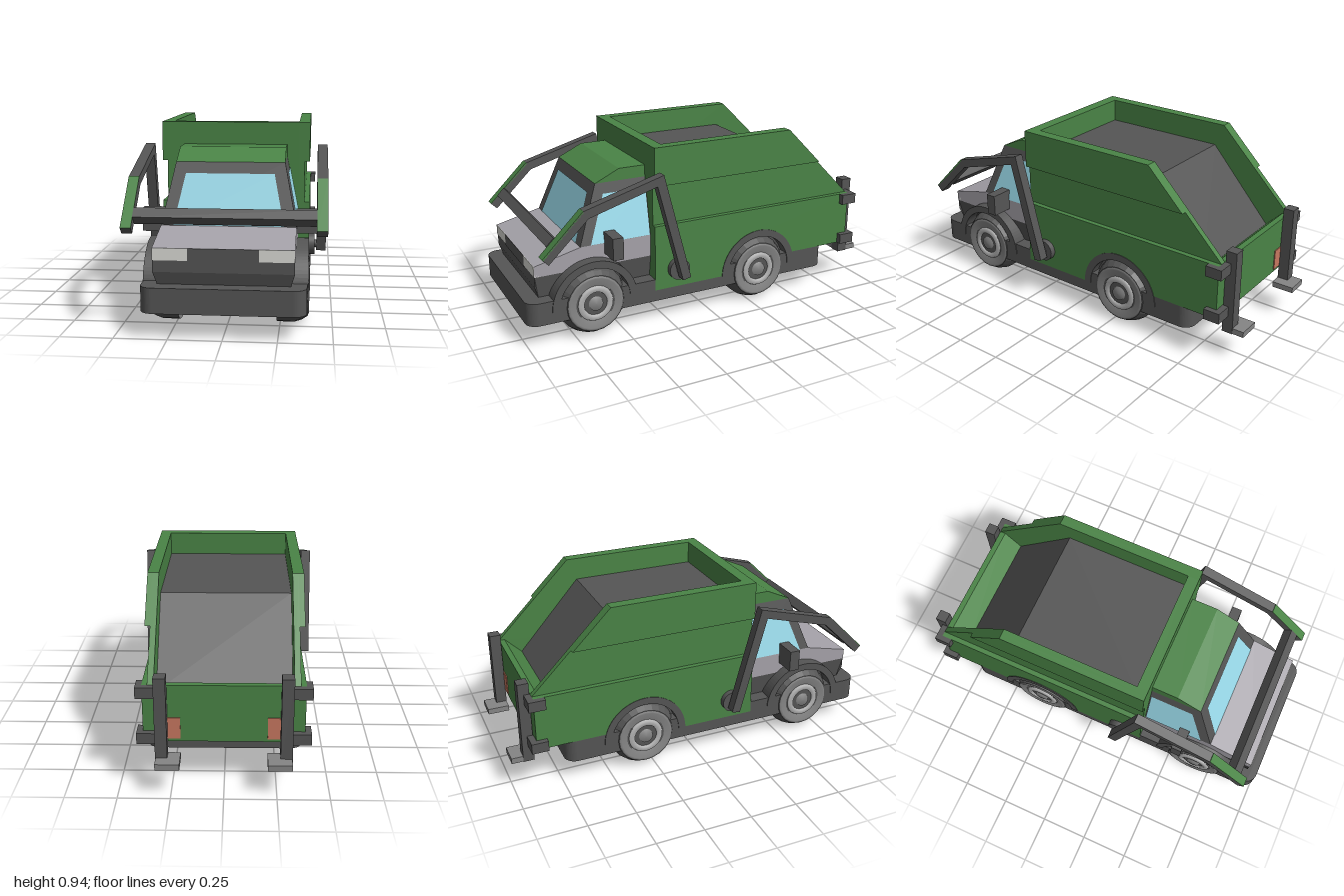
import * as THREE from 'three';

const mat = (color) => new THREE.MeshStandardMaterial({ color });

export function createModel() {
  const truck = new THREE.Group();
  truck.name = 'frontLoaderTruck';
  const green = mat(0x4a8446), dark = mat(0x555555), pale = mat(0xa5a2a9), glass = mat(0x9bdcec);
  const white = mat(0xdcdcd6), red = mat(0xc87860), rim = mat(0x858585), bright = mat(0xb4b4b4);
  glass.side = THREE.DoubleSide;
  const tyreMat = mat(0x555555);
  tyreMat.flatShading = true;

  const add = (name, geometry, material, parent = truck) => {
    const m = new THREE.Mesh(geometry, material);
    m.name = name;
    parent.add(m);
    return m;
  };
  // Box given by its limits on each axis
  const box = (name, [x0, x1], [y0, y1], [z0, z1], material) => {
    const m = add(name, new THREE.BoxGeometry(x1 - x0, y1 - y0, z1 - z0), material);
    m.position.set((x0 + x1) / 2, (y0 + y1) / 2, (z0 + z1) / 2);
    return m;
  };
  // Side profile of [z, y] points (or a shape), extruded from x0 to x1
  const slab = (name, profile, x0, x1, material) => {
    const shape = Array.isArray(profile) ? new THREE.Shape(profile.map(p => new THREE.Vector2(...p))) : profile;
    const g = new THREE.ExtrudeGeometry(shape, { depth: x1 - x0, bevelEnabled: false, curveSegments: 20 });
    g.rotateY(-Math.PI / 2).translate(x1, 0, 0);
    return add(name, g, material);
  };
  // Slab on both sides
  const pair = (name, profile, x0, x1, material) => {
    slab(name + 'Left', profile, x0, x1, material);
    slab(name + 'Right', profile, -x1, -x0, material);
  };
  const quad = (name, pts, material) => {
    const g = new THREE.BufferGeometry();
    g.setAttribute('position', new THREE.Float32BufferAttribute(pts.flat(), 3));
    g.setIndex([0, 1, 2, 0, 2, 3]);
    g.computeVertexNormals();
    return add(name, g, material);
  };

  // Chassis with rounded corners
  const W = 0.38, R = 0.06, zf = 1, zb = -0.73;
  const plan = new THREE.Shape();
  plan.absarc(W - R, zf - R, R, 0, Math.PI / 2);
  plan.absarc(-W + R, zf - R, R, Math.PI / 2, Math.PI);
  plan.absarc(-W + R, zb + R, R, Math.PI, Math.PI * 1.5);
  plan.absarc(W - R, zb + R, R, Math.PI * 1.5, Math.PI * 2);
  const chassis = new THREE.ExtrudeGeometry(plan, { depth: 0.12, bevelEnabled: false, curveSegments: 6 });
  add('chassis', chassis.rotateX(Math.PI / 2).translate(0, 0.24, 0), dark);

  // Wheels and arches
  const tyre = [[0.18, -0.075], [0.18, 0.01], [0.168, 0.045], [0.15, 0.073], [0.145, 0.074]];
  const disc = [[0.145, 0.074], [0.135, 0.078], [0.095, 0.068]];
  const ring = [[0.095, 0.068], [0.09, 0.078], [0.065, 0.08], [0.06, 0.066]];
  const hub = [[0.06, 0.066], [0.038, 0.066], [0.036, 0.08], [0, 0.082]];
  const lathe = (pts) => new THREE.LatheGeometry(pts.map(p => new THREE.Vector2(...p)), 24).rotateZ(-Math.PI / 2);
  for (const z of [0.65, -0.3]) {
    for (const s of [1, -1]) {
      const wheel = new THREE.Group();
      wheel.name = 'wheel';
      add('tyre', lathe(tyre), tyreMat, wheel);
      add('rim', lathe(disc), rim, wheel);
      add('rimRing', lathe(ring), bright, wheel);
      add('hub', lathe(hub), rim, wheel);
      add('innerFace', new THREE.CircleGeometry(0.18, 24).rotateY(-Math.PI / 2).translate(-0.075, 0, 0), rim, wheel);
      wheel.position.set(s * 0.31, 0.18, z);
      wheel.rotation.y = s > 0 ? 0 : Math.PI;
      truck.add(wheel);
    }
    const arch = new THREE.Shape();
    arch.absarc(z, 0.18, 0.226, 0, Math.PI);
    arch.absarc(z, 0.18, 0.188, Math.PI, 0, true);
    pair('wheelArch', arch, 0.24, 0.384, dark);
  }

  // Hopper body: side walls, raised skins, end walls and load
  pair('hopperWall', [[0.32, 0.45], [0.32, 0.94], [-0.47, 0.94], [-0.88, 0.53], [-0.88, 0.45]], 0.325, 0.355, green);
  pair('hopperUpperSkin', [[0.32, 0.74], [0.32, 0.94], [-0.47, 0.94], [-0.67, 0.74]], 0.355, 0.381, green);
  const lower = new THREE.Shape();
  lower.moveTo(0.32, 0.18);
  lower.lineTo(0.32, 0.53);
  lower.lineTo(-0.88, 0.53);
  lower.lineTo(-0.88, 0.24);
  lower.lineTo(-0.515, 0.24);
  lower.absarc(-0.3, 0.18, 0.224, Math.PI - 0.27, 0, true);
  pair('hopperLowerSkin', lower, 0.325, 0.381, green);
  slab('hopperFrontWall', [[0.32, 0.18], [0.32, 0.94], [0.26, 0.94], [0.26, 0.18]], -0.325, 0.325, green);
  slab('hopperTailWall', [[-0.7, 0.24], [-0.76, 0.44], [-0.85, 0.53], [-0.88, 0.53], [-0.88, 0.24]], -0.325, 0.325, green);
  slab('hopperFloor', [[0.26, 0.24], [0.26, 0.82], [-0.42, 0.82], [-0.76, 0.44], [-0.7, 0.24]], -0.325, 0.325, dark);

  // Cab nose, narrowing at the bottom
  const nose = slab('cabNose', [[0.92, 0.235], [0.94, 0.3], [0.94, 0.355], [0.32, 0.355], [0.32, 0.235]], -0.325, 0.325, dark);
  const np = nose.geometry.attributes.position;
  for (let i = 0; i < np.count; i++) if (np.getY(i) < 0.25) np.setX(i, np.getX(i) * 0.94);
  nose.geometry.computeVertexNormals();
  slab('hood', [[0.94, 0.355], [0.94, 0.412], [0.7, 0.47], [0.32, 0.47], [0.32, 0.355]], -0.325, 0.325, pale);
  box('grille', [-0.163, 0.163], [0.35, 0.412], [0.92, 0.943], dark);
  for (const s of [1, -1]) {
    const light = box('headlight', [-0.081, 0.081], [0.355, 0.412], [0.92, 0.943], white);
    light.position.x = s * 0.244;
  }

  // Cab frame, tapered upward, with windows
  const frame = new THREE.BoxGeometry(0.65, 0.295, 0.38).translate(0, 0.6175, 0.51);
  const fp = frame.attributes.position;
  for (let i = 0; i < fp.count; i++) {
    if (fp.getY(i) < 0.6) continue;
    fp.setX(i, fp.getX(i) * 0.265 / 0.325);
    if (fp.getZ(i) > 0.5) fp.setZ(i, 0.59);
  }
  frame.computeVertexNormals();
  add('cabFrame', frame, dark);
  const sideX = y => 0.329 - (y - 0.47) * 0.203, frontZ = y => 0.704 - (y - 0.47) * 0.373;
  const [yl, yh] = [0.472, 0.712];
  quad('windshield', [[-0.265, yl, frontZ(yl)], [0.265, yl, frontZ(yl)], [0.215, yh, frontZ(yh)], [-0.215, yh, frontZ(yh)]], glass);
  for (const s of [1, -1]) {
    const p = [[s * sideX(yl), yl, 0.645], [s * sideX(yl), yl, 0.325], [s * sideX(yh), yh, 0.325], [s * sideX(yh), yh, 0.555]];
    quad('sideWindow', s > 0 ? p : p.reverse(), glass);
    const mirror = box('mirror', [-0.06, 0.06], [0.415, 0.53], [0.517, 0.573], dark);
    mirror.position.x = s * 0.38;
  }
  slab('cabRoof', [[0.59, 0.765], [0.46, 0.826], [0.32, 0.826], [0.32, 0.765]], -0.265, 0.265, green);

  // Lifting arms with pivots, top plates and cross bar
  pair('liftArm', [[0.16, 0.26], [0.31, 0.826], [0.73, 0.708], [0.94, 0.5], [0.91, 0.47],
    [0.705, 0.668], [0.345, 0.772], [0.205, 0.25]], 0.42, 0.47, dark);
  pair('armPlate', [[0.73, 0.71], [0.942, 0.502], [0.936, 0.496], [0.724, 0.704]], 0.42, 0.47, green);
  for (const s of [1, -1]) {
    const pivot = add('armPivot', new THREE.CylinderGeometry(0.057, 0.057, 0.04, 24), dark);
    pivot.rotation.z = Math.PI / 2;
    pivot.position.set(s * 0.391, 0.285, 0.193);
    const pin = add('armPin', new THREE.CylinderGeometry(0.02, 0.02, 0.05, 16), dark);
    pin.rotation.z = Math.PI / 2;
    pin.position.set(s * 0.42, 0.285, 0.193);
  }
  const bar = box('crossBar', [-0.421, 0.421], [0.518, 0.572], [0.838, 0.892], dark);
  bar.rotation.x = Math.PI / 4;

  // Rear posts with brackets and feet, and tail lights
  for (const s of [1, -1]) {
    const side = (name, x, y, z, m) => box(name, s > 0 ? x : [-x[1], -x[0]], y, z, m);
    side('rearPost', [0.265, 0.322], [0.15, 0.59], [-0.94, -0.883], dark);
    side('rearFoot', [0.205, 0.32], [0.152, 0.182], [-1, -0.885], rim);
    for (const y of [0.24, 0.475]) {
      side('bracketBack', [0.32, 0.41], [y, y + 0.055], [-0.912, -0.88], dark);
      side('bracketSide', [0.381, 0.41], [y, y + 0.055], [-0.881, -0.825], dark);
    }
    side('tailLight', [0.205, 0.3], [0.255, 0.365], [-0.885, -0.87], red);
  }
  return truck;
}
